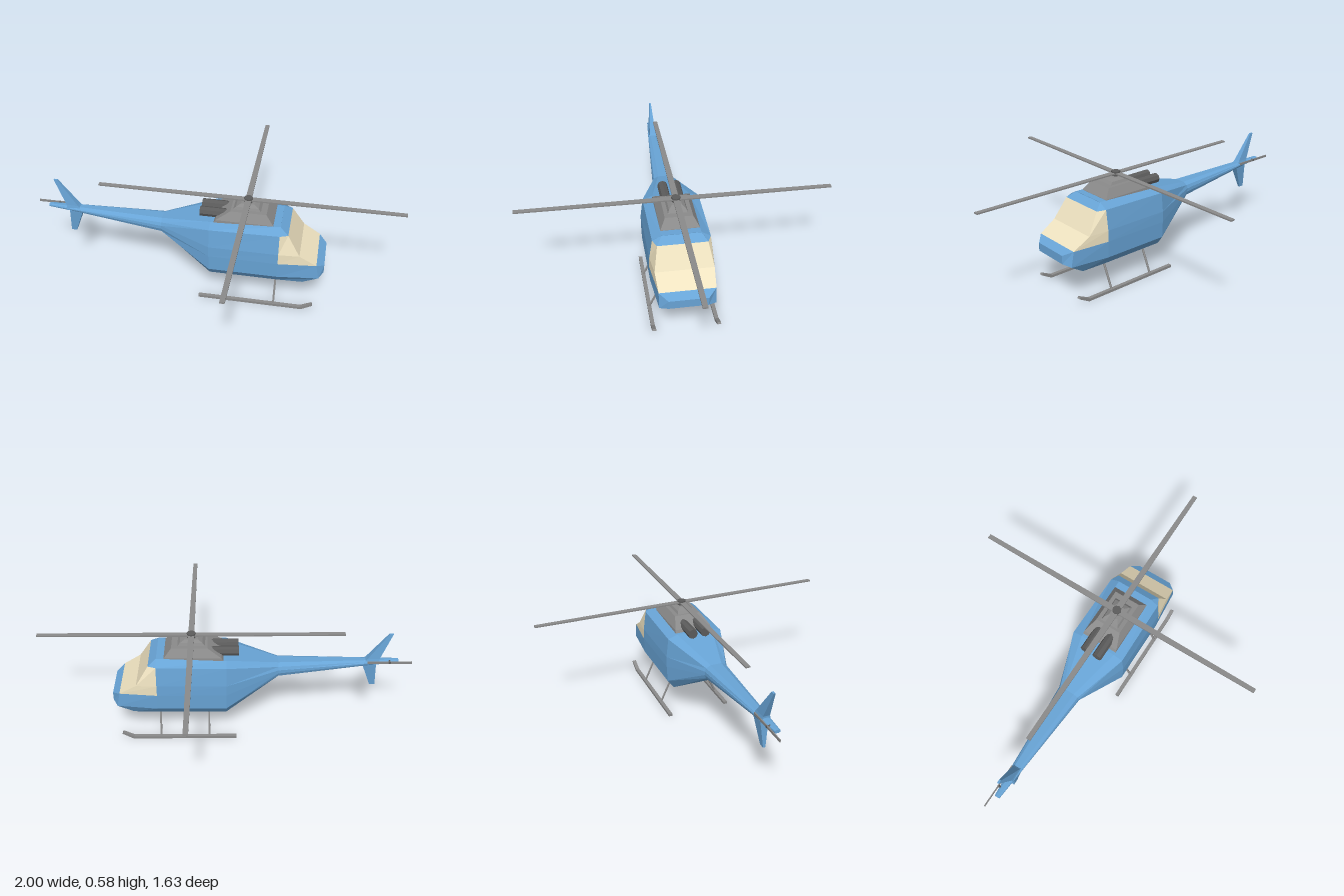
import * as THREE from 'three';

const mat = (color) => new THREE.MeshStandardMaterial({ color, flatShading: true });
const BLUE = mat(0x68a4d6), GLASS = mat(0xeee2c0), GREY = mat(0x8a8a8a), DARK = mat(0x5c5c5c);

// Mesh from a list of polygons, each a list of [x, y, z] corners
function polyMesh(name, polys, material) {
  const v = [];
  for (const p of polys)
    for (let k = 1; k < p.length - 1; k++) v.push(...p[0], ...p[k], ...p[k + 1]);
  const g = new THREE.BufferGeometry();
  g.setAttribute('position', new THREE.Float32BufferAttribute(v, 3));
  g.computeVertexNormals();
  const m = new THREE.Mesh(g, material);
  m.name = name;
  return m;
}

// Quads joining successive rings
function skin(rings, visit) {
  for (let i = 0; i < rings.length - 1; i++) {
    const a = rings[i], b = rings[i + 1], n = a.length;
    for (let j = 0; j < n; j++) {
      const k = (j + 1) % n;
      visit([a[j], b[j], b[k], a[k]], i, j);
    }
  }
}

// Upright tapered solid; each level is [y, xMin, xMax, half depth]
function tower(name, levels, material) {
  const rings = levels.map(([y, x0, x1, d]) => [[x1, y, -d], [x1, y, d], [x0, y, d], [x0, y, -d]]);
  const polys = [rings[0], [...rings[rings.length - 1]].reverse()];
  skin(rings, (q) => polys.push(q));
  return polyMesh(name, polys, material);
}

// Round bar between two points
function bar(name, a, b, radius, material, sides = 6) {
  const p = new THREE.Vector3(...a), q = new THREE.Vector3(...b);
  const m = new THREE.Mesh(new THREE.CylinderGeometry(radius, radius, p.distanceTo(q), sides), material);
  m.position.copy(p).add(q).multiplyScalar(0.5);
  m.quaternion.setFromUnitVectors(new THREE.Vector3(0, 1, 0), q.sub(p).normalize());
  m.name = name;
  return m;
}

const flip = ([x, y, z]) => [x, y, -z];

function fuselage() {
  const group = new THREE.Group();
  group.name = 'fuselage';
  // Half section at one x: six [y, z] points from belly to roof
  const section = (x, pts) => pts.map(([y, z]) => [x, y, z]);
  const halves = [
    section(-0.93, [[0.388, 0.006], [0.391, 0.013], [0.395, 0.014], [0.398, 0.014], [0.402, 0.013], [0.405, 0.006]]),
    section(-0.75, [[0.373, 0.014], [0.379, 0.025], [0.388, 0.029], [0.394, 0.029], [0.4, 0.024], [0.406, 0.014]]),
    section(-0.28, [[0.322, 0.035], [0.335, 0.055], [0.355, 0.062], [0.375, 0.062], [0.393, 0.055], [0.406, 0.03]]),
    section(0, [[0.147, 0.125], [0.195, 0.16], [0.285, 0.164], [0.345, 0.164], [0.448, 0.152], [0.465, 0.1]]),
    section(0.37, [[0.147, 0.125], [0.195, 0.16], [0.285, 0.164], [0.345, 0.163], [0.453, 0.148], [0.48, 0.1]]),
    [[0.505, 0.147, 0.12], [0.588, 0.203, 0.143], [0.572, 0.285, 0.143],
      [0.48, 0.34, 0.15], [0.413, 0.45, 0.128], [0.37, 0.478, 0.1]],
  ];
  const rings = halves.map((h) => [...h, ...[...h].reverse().map(flip)]);
  const body = [rings[0]], glass = [];
  skin(rings, (q, i, j) => {
    const side = Math.min(j, 10 - j);
    (i === 4 && (side === 2 || side === 3) ? glass : body).push(q);
  });

  // Nose and windscreen rows across the front
  const [B, L, W, M, S, T] = halves[5];
  const lowTip = [0.613, 0.215, 0.1], highTip = [0.613, 0.261, 0.1];
  const rows = [B, lowTip, highTip, W, M, S, T];
  for (let r = 0; r < rows.length - 1; r++) {
    const a = rows[r], b = rows[r + 1];
    (r === 3 || r === 4 ? glass : body).push([a, flip(a), flip(b), b]);
  }
  // Bevelled nose corners
  for (const p of [[L, lowTip, highTip, W], [B, lowTip, L]])
    body.push(p, [...p].reverse().map(flip));

  group.add(polyMesh('body', body, BLUE), polyMesh('windscreen', glass, GLASS));
  return group;
}

function mainRotor() {
  const rotor = new THREE.Group();
  rotor.name = 'mainRotor';
  rotor.position.set(0.185, 0.565, 0);
  rotor.add(bar('rotorHub', [0, -0.02, 0], [0, 0.011, 0], 0.024, DARK, 8));
  for (let i = 0; i < 4; i++) {
    // Blade narrows toward its tip
    const g = new THREE.BoxGeometry(0.815, 0.007, 0.032).translate(0.4075, 0, 0);
    const p = g.attributes.position;
    for (let k = 0; k < p.count; k++) if (p.getX(k) > 0.4) p.setZ(k, p.getZ(k) * 0.75);
    g.computeVertexNormals();
    const blade = new THREE.Mesh(g, GREY);
    blade.name = 'rotorBlade';
    blade.rotation.y = (i * Math.PI) / 2;
    rotor.add(blade);
  }
  return rotor;
}

function landingGear() {
  const gear = new THREE.Group();
  gear.name = 'landingGear';
  for (const s of [1, -1]) {
    const z = s * 0.167;
    // Skid runner with upturned toe: side outline given a width
    const outline = [[-0.055, 0], [0.513, 0], [0.572, 0.034], [0.566, 0.043], [0.507, 0.014], [-0.055, 0.014]];
    const shape = new THREE.Shape(outline.map(([x, y]) => new THREE.Vector2(x, y)));
    const g = new THREE.ExtrudeGeometry(shape, { depth: 0.02, bevelEnabled: false });
    const skid = new THREE.Mesh(g.translate(0, 0, z - 0.01), GREY);
    skid.name = 'skid';
    gear.add(skid);
    for (const x of [0.095, 0.36])
      gear.add(bar('skidStrut', [x, 0.155, s * 0.1], [x, 0.01, z], 0.006, GREY));
  }
  return gear;
}

export function createModel() {
  const model = new THREE.Group();
  model.name = 'helicopter';
  model.add(fuselage(), mainRotor(), landingGear());

  // Engine cowl, mast fairing and twin exhausts
  model.add(tower('engineCowl', [[0.44, 0, 0.34, 0.105], [0.48, 0.025, 0.33, 0.1], [0.526, 0.1, 0.29, 0.072]], GREY));
  model.add(tower('mastFairing', [[0.524, 0.11, 0.26, 0.052], [0.54, 0.125, 0.245, 0.044], [0.552, 0.15, 0.22, 0.026]], GREY));
  for (const z of [0.036, -0.036])
    model.add(bar('exhaust', [-0.066, 0.486, z], [0.1, 0.486, z], 0.027, DARK, 8));

  // Tail fins
  model.add(tower('upperFin', [[0.385, -0.825, -0.735, 0.024], [0.415, -0.825, -0.76, 0.018], [0.565, -0.885, -0.865, 0.005]], BLUE));
  model.add(tower('lowerFin', [[0.24, -0.82, -0.79, 0.006], [0.37, -0.81, -0.74, 0.02], [0.395, -0.81, -0.735, 0.022]], BLUE));

  // Tail rotor on the far side of the boom
  const blade = new THREE.Mesh(new THREE.BoxGeometry(0.24, 0.013, 0.005), GREY);
  blade.name = 'tailRotorBlade';
  blade.position.set(-0.88, 0.398, -0.026);
  model.add(blade, bar('tailRotorHub', [-0.88, 0.398, 0], [-0.88, 0.398, -0.03], 0.007, DARK));
  return model;
}
